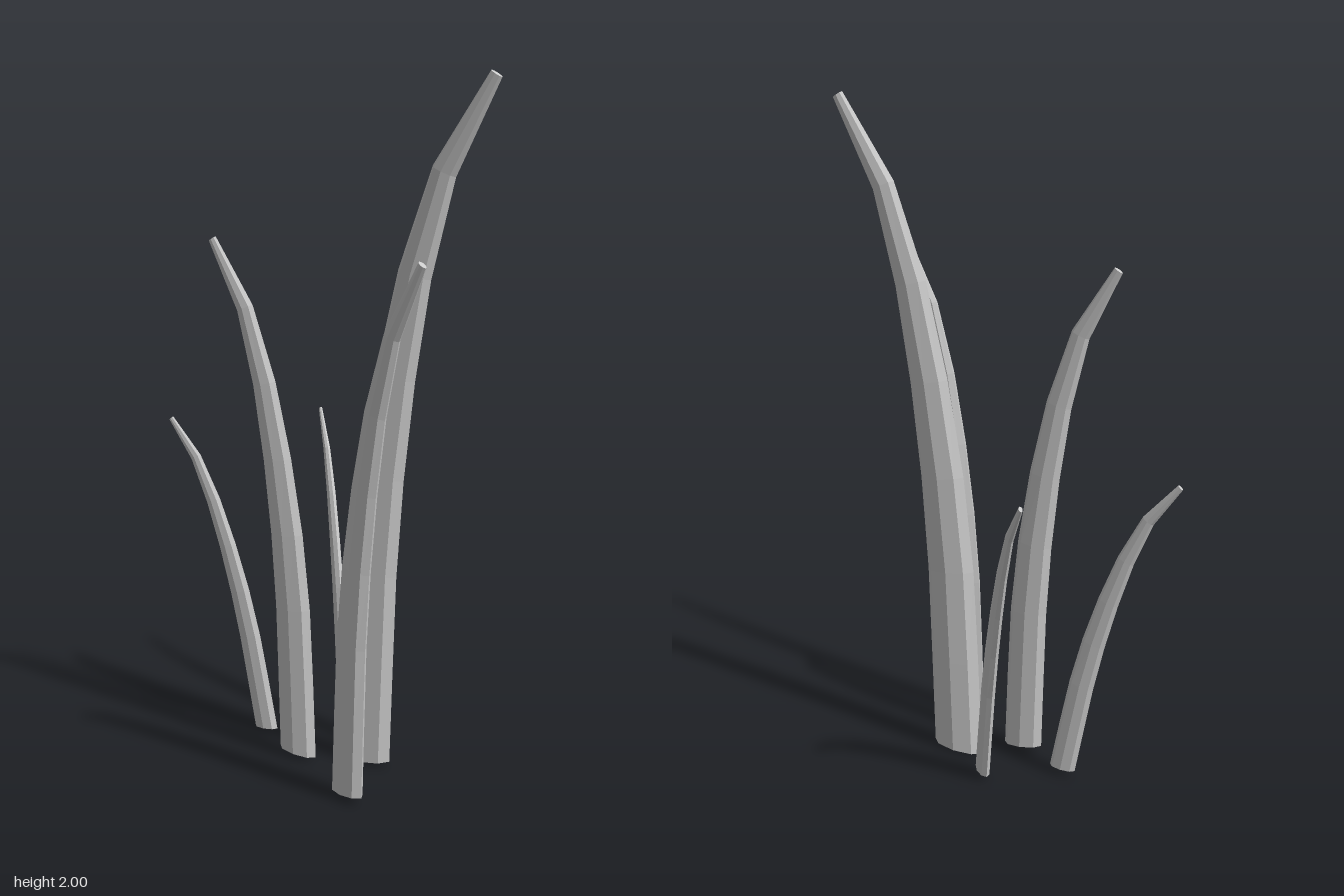
import * as THREE from 'three';

const SIDES = 8, STEPS = 7;

// One blade curving toward +x: each point is (reach, height, half width)
const spine = new THREE.CatmullRomCurve3([
  [0, 0, 0.063], [0.023, 0.54, 0.058], [0.075, 0.93, 0.047],
  [0.128, 1.17, 0.037], [0.19, 1.35, 0.027], [0.288, 1.51, 0.014],
].map(p => new THREE.Vector3(...p)));

function bladeGeometry() {
  const pos = [], index = [];
  const addRingPoint = (x, y, z) => pos.push(x, y, z);

  // Flattened octagonal rings set square to the spine
  for (let i = 0; i <= STEPS; i++) {
    const t = i / STEPS;
    const p = spine.getPointAt(t), d = spine.getTangentAt(t);
    const dir = i === 0 ? new THREE.Vector2(-0.09, 1) : new THREE.Vector2(d.x, d.y);
    dir.normalize();
    const thick = p.z * (0.44 + 0.18 * t * t);
    for (let j = 0; j < SIDES; j++) {
      const a = j / SIDES * Math.PI * 2, w = Math.cos(a) * p.z;
      addRingPoint(p.x + dir.y * w, p.y - dir.x * w, Math.sin(a) * thick);
    }
  }

  // Side walls
  for (let i = 0; i < STEPS; i++) {
    for (let j = 0; j < SIDES; j++) {
      const k = (j + 1) % SIDES;
      const a = i * SIDES + j, b = i * SIDES + k, c = a + SIDES, e = b + SIDES;
      index.push(a, c, b, b, c, e);
    }
  }

  // End caps
  const top = STEPS * SIDES;
  for (let j = 1; j < SIDES - 1; j++) {
    index.push(0, j, j + 1, top, top + j + 1, top + j);
  }

  const geo = new THREE.BufferGeometry();
  geo.setAttribute('position', new THREE.Float32BufferAttribute(pos, 3));
  geo.setIndex(index);
  const flat = geo.toNonIndexed();
  flat.computeVertexNormals();
  return flat;
}

export function createModel() {
  const group = new THREE.Group();
  group.name = 'grassTuft';
  const geo = bladeGeometry();
  const mat = new THREE.MeshStandardMaterial({ color: 0xcccccc, flatShading: true });

  // Base position, size, heading and outward tilt (degrees) of each blade
  const blades = [
    { name: 'tallBlade', at: [0.16, 0.01, 0.02], scale: 1.31, yaw: 0, tilt: 0 },
    { name: 'middleBlade', at: [-0.022, 0.02, 0.107], scale: 1, yaw: 180, tilt: 0 },
    { name: 'frontBlade', at: [0.243, 0.02, 0.257], scale: 1, yaw: -20, tilt: 0 },
    { name: 'sideShortBlade', at: [-0.198, 0.022, 0.018], scale: 0.65, yaw: 180, tilt: 9.5 },
    { name: 'backShortBlade', at: [0.01, 0.022, -0.105], scale: 0.65, yaw: 135, tilt: 9.5 },
  ];
  for (const b of blades) {
    const mesh = new THREE.Mesh(geo, mat);
    mesh.name = b.name;
    mesh.position.set(...b.at);
    mesh.scale.setScalar(b.scale);
    mesh.rotation.set(0, THREE.MathUtils.degToRad(b.yaw), THREE.MathUtils.degToRad(-b.tilt));
    group.add(mesh);
  }
  return group;
}
